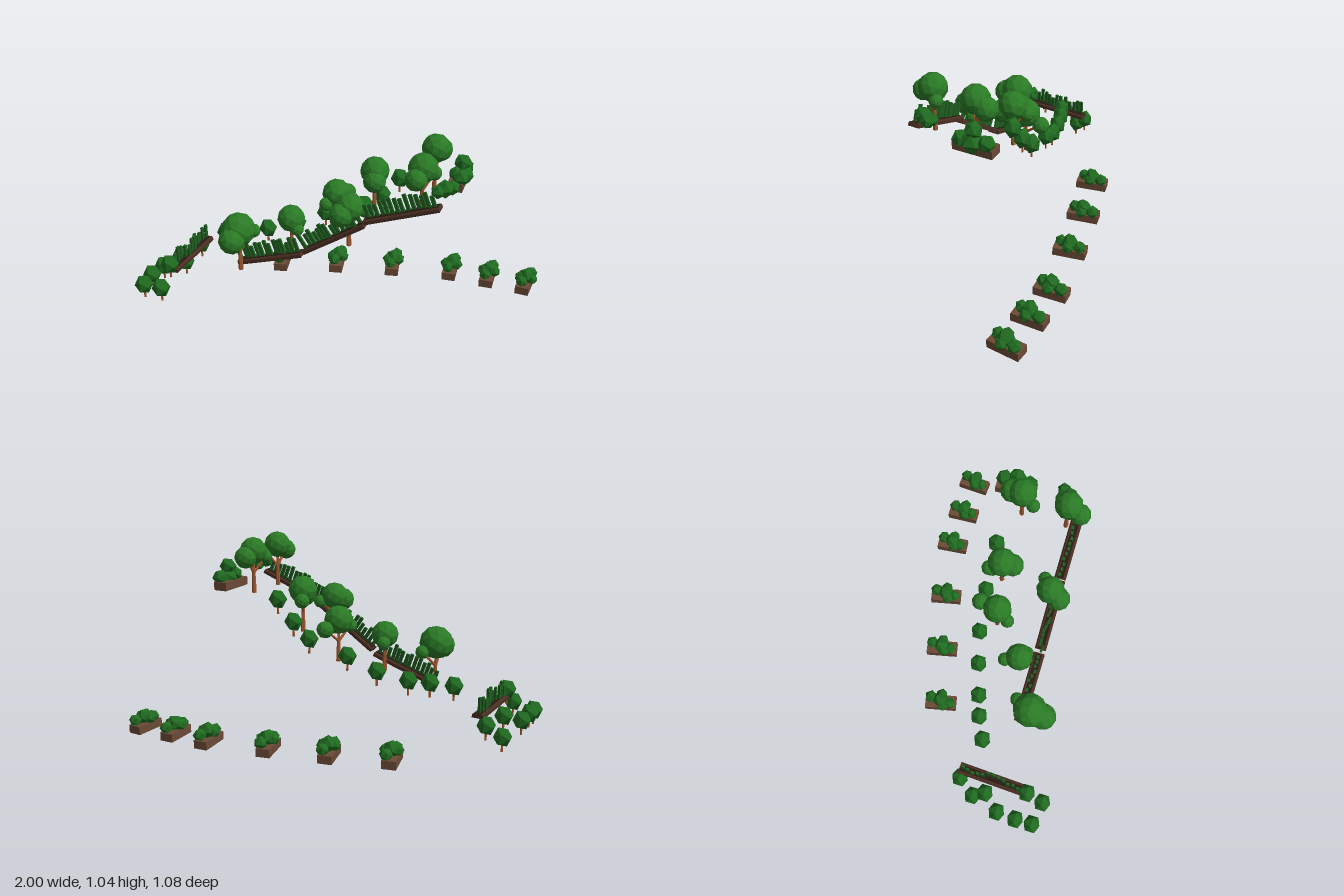
import * as THREE from 'three';

const mat = (color) => new THREE.MeshStandardMaterial({ color, flatShading: true });
const LEAF = mat(0x2a7a26), BUSH = mat(0x1f6b20), BARK = mat(0xa0582f);
const BLADE = mat(0x1f5f20), WOOD = mat(0x6b4a36), BEAM = mat(0x4a2e22), SOIL = mat(0x2a1a12);

let seed = 7;
const rand = () => (seed = (seed * 16807) % 2147483647) / 2147483647;

function add(parent, name, geometry, material, x = 0, y = 0, z = 0) {
  const mesh = new THREE.Mesh(geometry, material);
  mesh.name = name;
  mesh.position.set(x, y, z);
  parent.add(mesh);
  return mesh;
}

function group(parent, name, x = 0, y = 0, z = 0) {
  const g = new THREE.Group();
  g.name = name;
  g.position.set(x, y, z);
  parent.add(g);
  return g;
}

// Tapered limb between two points
function limb(parent, name, a, b, r0, r1) {
  const dir = b.clone().sub(a);
  const mesh = add(parent, name, new THREE.CylinderGeometry(r1, r0, dir.length(), 6), BARK);
  mesh.position.copy(a).addScaledVector(dir, 0.5);
  mesh.quaternion.setFromUnitVectors(new THREE.Vector3(0, 1, 0), dir.normalize());
}

// Large tree: trunk, a fork and one branch into each crown [x, y, z, radius]
function tree(parent, x, y, z, crowns) {
  const g = group(parent, 'tree', x, y, z);
  const fork = new THREE.Vector3(0, 0.11, 0);
  limb(g, 'trunk', new THREE.Vector3(), fork, 0.013, 0.009);
  for (const [cx, cy, cz, r] of crowns) {
    limb(g, 'branch', fork, new THREE.Vector3(cx, cy, cz), 0.008, 0.005);
    add(g, 'crown', new THREE.IcosahedronGeometry(r, 1), LEAF, cx, cy, cz);
  }
}

// Small tree: one faceted ball on a short stem
function sapling(parent, x, y, z) {
  const g = group(parent, 'sapling', x, y, z);
  add(g, 'stem', new THREE.CylinderGeometry(0.005, 0.006, 0.06, 6), BARK, 0, -0.05, 0);
  add(g, 'saplingCrown', new THREE.IcosahedronGeometry(0.049, 0), BUSH).scale.y = 1.12;
}

function bushes(parent, list) {
  for (const [x, y, z, r] of list)
    add(parent, 'bush', new THREE.IcosahedronGeometry(r, 0), BUSH, x, y, z).rotation.y = rand() * 2;
}

// Wooden box filled with bushes
function planter(parent, x, y, z, turn, length, list) {
  const g = group(parent, 'planter', x, y, z);
  g.rotation.y = turn;
  add(g, 'planterBox', new THREE.BoxGeometry(0.075, 0.045, length), WOOD, 0, 0.0225, 0);
  bushes(g, list);
}

// Beam along local x with a row of upright blades
function hedge(parent, length, blades) {
  const g = group(parent, 'hedge');
  const profile = new THREE.Shape([[-0.03, -0.012], [0.03, -0.012], [0.03, 0.004], [0.023, 0.011],
    [-0.023, 0.011], [-0.03, 0.004]].map(([a, b]) => new THREE.Vector2(a, b)));
  const geo = new THREE.ExtrudeGeometry(profile, { depth: length, bevelEnabled: false });
  geo.translate(0, 0, -length / 2).rotateY(Math.PI / 2);
  add(g, 'beam', geo, BEAM);
  add(g, 'soil', new THREE.BoxGeometry(length * 0.97, 0.004, 0.032), SOIL, 0, 0.011, 0);
  for (let i = 0; i < blades; i++) {
    const h = 0.055 + 0.035 * rand();
    const x = ((i + 0.5) / blades - 0.5) * length * 0.96;
    add(g, 'blade', new THREE.BoxGeometry(0.018, h, 0.012), BLADE, x, 0.01 + h / 2, (rand() - 0.5) * 0.024);
  }
  return g;
}

export function createModel() {
  const root = new THREE.Group();
  root.name = 'terracedGarden';

  // Climbing hedge in three runs: x0, y0, x1, y1
  for (const [x0, y0, x1, y1] of [[-0.48, 0.285, -0.12, 0.405], [-0.105, 0.425, 0.215, 0.64], [0.215, 0.66, 0.585, 0.8]]) {
    const h = hedge(root, Math.hypot(x1 - x0, y1 - y0), 14);
    h.position.set((x0 + x1) / 2, (y0 + y1) / 2, 0.262);
    h.rotation.z = Math.atan2(y1 - y0, x1 - x0);
  }

  // Level hedge at the low end
  const low = hedge(root, 0.375, 13);
  low.position.set(-0.805, 0.235, 0.218);
  low.rotation.y = Math.PI / 2 - 0.04;

  // Large trees
  tree(root, -0.455, 0.26, 0.305, [[0, 0.24, 0, 0.09], [-0.005, 0.21, 0.072, 0.07], [0.045, 0.2, -0.08, 0.037]]);
  tree(root, -0.215, 0.345, 0.175, [[0, 0.2, 0, 0.072], [-0.025, 0.17, -0.07, 0.036], [0.045, 0.16, 0.03, 0.035]]);
  tree(root, -0.03, 0.415, 0, [[0, 0.225, 0, 0.076], [0.025, 0.19, -0.1, 0.045], [-0.035, 0.185, 0.065, 0.036]]);
  tree(root, 0.125, 0.49, 0.24, [[0, 0.215, -0.005, 0.074], [-0.025, 0.19, 0.045, 0.062], [0.065, 0.185, -0.05, 0.036]]);
  tree(root, 0.165, 0.56, -0.035, [[0, 0.225, 0, 0.076], [0.015, 0.19, 0.05, 0.06], [-0.03, 0.18, -0.06, 0.04]]);
  tree(root, 0.48, 0.735, 0.213, [[0, 0.23, 0, 0.073], [-0.015, 0.195, 0.065, 0.055], [0.045, 0.19, -0.045, 0.036]]);
  tree(root, 0.48, 0.735, -0.025, [[0, 0.23, 0, 0.073], [0.01, 0.2, -0.06, 0.06], [-0.035, 0.19, 0.065, 0.036]]);

  // Saplings along the path: crown centres
  for (const p of [[-0.84, 0.19, 0.045], [-0.9, 0.11, 0.13], [-0.88, 0.2, 0.195], [-0.95, 0.16, 0.28],
    [-0.958, 0.165, 0.385], [-0.955, 0.155, 0.475], [-0.835, 0.175, 0.497], [-0.825, 0.27, 0.407],
    [-0.64, 0.345, 0.107], [-0.53, 0.36, 0.055], [-0.425, 0.365, 0.02], [-0.27, 0.405, -0.03],
    [-0.12, 0.475, -0.07], [0.09, 0.545, -0.1], [0.185, 0.625, -0.1], [0.28, 0.735, -0.1]]) sapling(root, ...p);

  // Row of ground planters: x, z, turn
  const filling = [[0.005, 0.075, 0, 0.045], [0.02, 0.065, -0.055, 0.036], [-0.01, 0.065, 0.05, 0.034],
    [0.036, 0.065, 0.005, 0.034], [-0.025, 0.068, 0.012, 0.034]];
  for (const [x, z, turn] of [[-0.448, -0.205, 0.22], [-0.142, -0.3, 0.22], [0.173, -0.38, 0.22],
    [0.502, -0.448, 0.1], [0.72, -0.45, 0.05], [0.932, -0.448, -0.05]]) planter(root, x, 0, z, turn, 0.172, filling);

  // Raised planter and end bushes at the top
  planter(root, 0.588, 0.765, -0.088, 0.04, 0.21, [[0.02, 0.055, 0.005, 0.058], [0.02, 0.065, -0.07, 0.044],
    [0.02, 0.06, 0.067, 0.044], [0.015, 0.115, 0, 0.046], [-0.01, 0.07, 0.04, 0.036]]);
  bushes(root, [[0.56, 0.86, 0.225, 0.035], [0.585, 0.865, 0.195, 0.045], [0.612, 0.86, 0.16, 0.037], [0.575, 0.85, 0.16, 0.033]]);

  return root;
}
